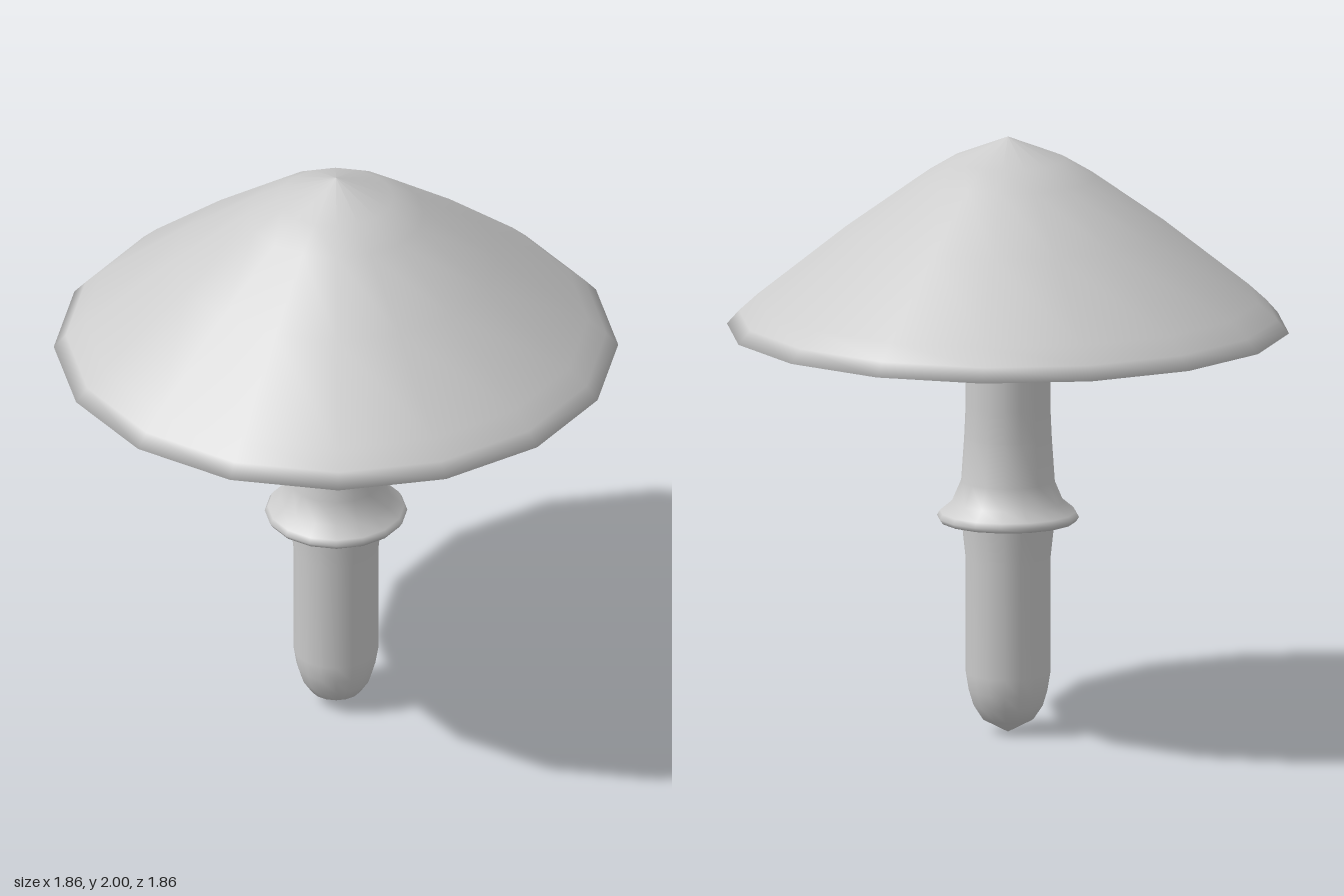
import * as THREE from 'three';

const SIDES = 16;

// Turns a profile of [radius, height] pairs, listed with the surface's outside on the right
function turned(name, profile) {
  const points = profile.map(([r, y]) => new THREE.Vector2(r, y));
  const material = new THREE.MeshStandardMaterial({ color: 0xcccccc, side: THREE.DoubleSide });
  const mesh = new THREE.Mesh(new THREE.LatheGeometry(points, SIDES), material);
  mesh.name = name;
  return mesh;
}

export function createModel() {
  const group = new THREE.Group();
  group.name = 'mushroom';

  // Hollow cap: underside from the stem out to the thin rim, then over the top
  group.add(turned('cap', [
    [0.14, 1.72], [0.2, 1.77], [0.3, 1.74], [0.53, 1.61], [0.8, 1.42], [0.88, 1.365],
    [0.93, 1.355], [0.89, 1.4], [0.83, 1.455], [0.535, 1.69], [0.29, 1.865], [0.19, 1.925], [0, 2],
  ]));

  // Stem with a pointed, rounded foot, running up inside the cap
  group.add(turned('stem', [
    [0, 0], [0.085, 0.045], [0.115, 0.09], [0.13, 0.14], [0.14, 0.2], [0.14, 0.58],
    [0.155, 0.72], [0.155, 0.84], [0.145, 0.99], [0.14, 1.1], [0.14, 1.78],
  ]));

  // Flared ring around the middle of the stem
  group.add(turned('ring', [
    [0.15, 0.74], [0.19, 0.725], [0.225, 0.71], [0.235, 0.725], [0.225, 0.742],
    [0.185, 0.775], [0.155, 0.845], [0.145, 0.99],
  ]));

  return group;
}
